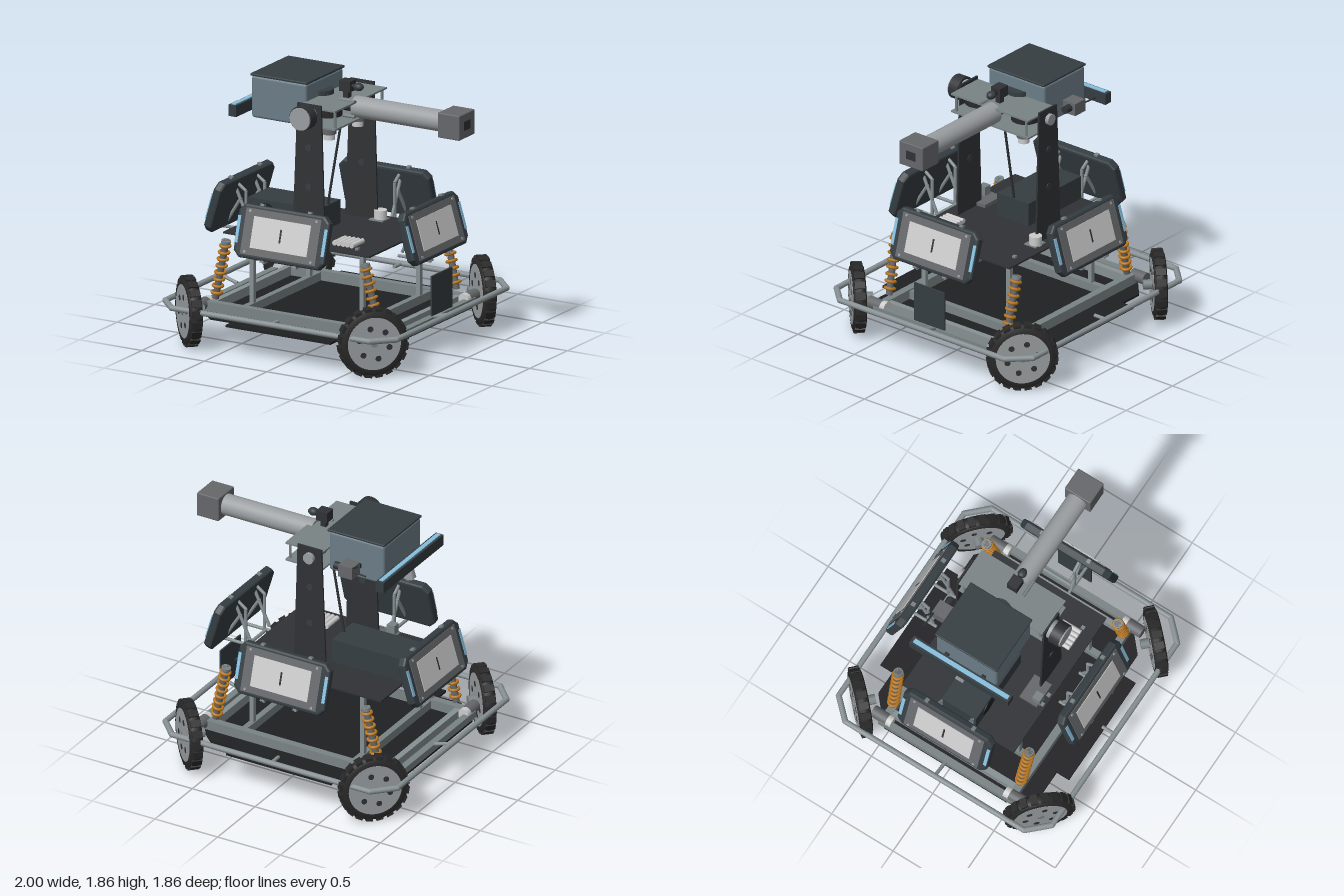
import * as THREE from 'three';
import { RoundedBoxGeometry } from 'three/addons/geometries/RoundedBoxGeometry.js';

const V = (x, y, z) => new THREE.Vector3(x, y, z);
const UP = V(0, 1, 0);
const mat = (color) => new THREE.MeshStandardMaterial({ color });
const M = {
  black: mat(0x1f2022), dark: mat(0x303235), slate: mat(0x353d42), steel: mat(0x7a8385), tube: mat(0x879093),
  mid: mat(0x65676a), light: mat(0x9a9ea0), pale: mat(0xc9cccb), hopper: mat(0x6b7d87), blue: mat(0x86bfde),
  orange: mat(0xb9771f), rubber: mat(0x292929),
};

function add(parent, name, geo, m, x = 0, y = 0, z = 0) {
  const mesh = new THREE.Mesh(geo, m);
  mesh.name = name;
  mesh.position.set(x, y, z);
  parent.add(mesh);
  return mesh;
}
// Box given by its minimum and maximum corners
const box = (p, name, m, a, b) => add(p, name, new THREE.BoxGeometry(b[0] - a[0], b[1] - a[1], b[2] - a[2]), m,
  (a[0] + b[0]) / 2, (a[1] + b[1]) / 2, (a[2] + b[2]) / 2);
// Cylinder between two points
function rod(p, name, m, a, b, r, seg = 12, r2 = r) {
  const d = b.clone().sub(a), mid = a.clone().add(b).multiplyScalar(0.5);
  const mesh = add(p, name, new THREE.CylinderGeometry(r2, r, d.length(), seg), m, mid.x, mid.y, mid.z);
  mesh.quaternion.setFromUnitVectors(UP, d.normalize());
  return mesh;
}
function polygon(points) {
  return new THREE.Shape(points.map(([x, y]) => new THREE.Vector2(x, y)));
}
function group(parent, name) {
  const g = new THREE.Group();
  g.name = name;
  parent.add(g);
  return g;
}

// Wheel with its axle along local y, outer face up
function makeWheel(parent) {
  const g = group(parent, 'wheel');
  const profile = [[0.18, -0.045], [0.215, -0.045], [0.237, -0.026], [0.242, 0], [0.237, 0.026], [0.215, 0.045], [0.18, 0.045]]
    .map(([x, y]) => new THREE.Vector2(x, y));
  add(g, 'tyre', new THREE.LatheGeometry(profile, 40), M.rubber);
  for (let i = 0; i < 20; i++) {
    const a = i / 20 * Math.PI * 2;
    const lug = add(g, 'treadLug', new THREE.BoxGeometry(0.03, 0.07, 0.05), M.rubber, 0.232 * Math.cos(a), 0, 0.232 * Math.sin(a));
    lug.rotation.y = -a;
  }
  add(g, 'hub', new THREE.CylinderGeometry(0.187, 0.187, 0.094, 40), M.light);
  for (const s of [-1, 1]) {
    add(g, 'hubCap', new THREE.CylinderGeometry(0.025, 0.025, 0.01, 16), M.steel, 0, s * 0.048, 0);
    for (let i = 0; i < 6; i++) {
      const a = (i + 0.5) * Math.PI / 3;
      add(g, 'hubHole', new THREE.CylinderGeometry(0.021, 0.021, 0.004, 12), M.dark, 0.11 * Math.cos(a), s * 0.047, 0.11 * Math.sin(a));
    }
  }
  return g;
}

// Tilted target panel facing local +z with its two tube brackets
function makePanel(parent, dist) {
  const g = group(parent, 'panelAssembly');
  const p = group(g, 'panel');
  p.position.set(0, 0.885, dist);
  p.rotation.x = -0.29;
  const w = 0.345, h = 0.17, c = 0.035;
  const outline = polygon([[-w + c, -h], [w - c, -h], [w, -h + c], [w, h - c], [w - c, h], [-w + c, h], [-w, h - c], [-w, -h + c]]);
  const body = new THREE.ExtrudeGeometry(outline, { depth: 0.035, bevelThickness: 0.015, bevelSize: 0.017, bevelSegments: 2 });
  add(p, 'panelBody', body, M.slate, 0, 0, -0.035);
  add(p, 'panelFrame', new THREE.BoxGeometry(0.6, 0.32, 0.012), M.mid, 0, 0, 0.014);
  add(p, 'panelPlate', new THREE.BoxGeometry(0.455, 0.22, 0.01), M.pale, 0, 0, 0.02);
  add(p, 'panelMark', new THREE.BoxGeometry(0.013, 0.095, 0.008), M.dark, 0, 0, 0.023);
  for (const s of [-1, 1]) {
    box(p, 'lightStrip', M.blue, [s * 0.345 - 0.012, -0.09, -0.03], [s * 0.345 + 0.012, 0.1, 0.018]);
    box(p, 'topStud', M.steel, [s * 0.19 - 0.014, 0.18, -0.025], [s * 0.19 + 0.014, 0.2, 0.005]);
    box(p, 'bottomStud', M.steel, [s * 0.13 - 0.016, -0.2, -0.025], [s * 0.13 + 0.016, -0.18, 0.005]);
    for (const t of [-1, 1]) {
      const screw = add(p, 'screw', new THREE.CylinderGeometry(0.01, 0.01, 0.01, 10), M.light, s * 0.265, t * 0.142, 0.02);
      screw.rotation.x = Math.PI / 2;
    }
    const o = dist - 0.715;
    const bars = [[0.76, 0.69, 0.5, 0.69], [0.57, 0.69, 0.57, 0.965], [0.57, 0.965, 0.66, 1.03], [0.66, 1.0, 0.53, 0.72], [0.74, 0.7, 0.61, 0.91]];
    for (const [z1, y1, z2, y2] of bars) rod(g, 'bracketBar', M.tube, V(s * 0.125, y1, z1 + o), V(s * 0.125, y2, z2 + o), 0.012, 8);
  }
  rod(g, 'bracketCrossBar', M.tube, V(-0.125, 0.69, dist - 0.16), V(0.125, 0.69, dist - 0.16), 0.012, 8);
  return g;
}

function makeChassis(root) {
  const g = group(root, 'chassis');
  g.position.x = -0.05;
  // Floor plate with wheel notches and side tabs
  const q = [[0.42, 0.77], [0.42, 0.67], [0.6, 0.67], [0.79, 0.5]];
  const flip = (pts, sx, sy) => pts.map(([x, y]) => [x * sx, y * sy]);
  const outline = polygon([...q, ...flip(q, 1, -1).reverse(), ...flip(q, -1, -1), ...flip(q, -1, 1).reverse()]);
  const floor = add(g, 'floorPlate', new THREE.ExtrudeGeometry(outline, { depth: 0.015, bevelEnabled: false }), M.black, 0, 0.205, 0);
  floor.rotation.x = Math.PI / 2;
  box(g, 'upperDeck', M.dark, [-0.63, 0.748, -0.455], [0.54, 0.76, 0.455]);
  box(g, 'sidePlate', M.slate, [0.838, 0.3, -0.135], [0.85, 0.585, 0.135]);

  for (const s of [-1, 1]) {
    box(g, 'longRail', M.steel, [-0.76, 0.205, s * 0.52 - 0.027], [0.76, 0.275, s * 0.52 + 0.027]);
    box(g, 'outerSideRail', M.steel, [s * 0.765 - 0.025, 0.205, -0.55], [s * 0.765 + 0.025, 0.255, 0.55]);
    box(g, 'innerSideRail', M.tube, [s * 0.68 - 0.022, 0.205, -0.52], [s * 0.68 + 0.022, 0.27, 0.52]);
    box(g, 'crossRail', M.steel, [s * 0.44 - 0.022, 0.205, -0.52], [s * 0.44 + 0.022, 0.265, 0.52]);
    // Bumper sides
    rod(g, 'bumperLongTube', M.tube, V(-0.79, 0.295, s * 0.87), V(0.79, 0.295, s * 0.87), 0.02);
    rod(g, 'bumperSideTube', M.tube, V(s * 0.925, 0.295, -0.73), V(s * 0.925, 0.295, 0.73), 0.02);
    rod(g, 'bumperStay', M.tube, V(0, 0.295, s * 0.77), V(0, 0.295, s * 0.87), 0.013);
    rod(g, 'bumperStay', M.tube, V(s * 0.79, 0.255, 0), V(s * 0.925, 0.295, 0), 0.013);
    for (const t of [-1, 1]) {
      rod(g, 'bumperCornerTube', M.tube, V(s * 0.79, 0.295, t * 0.87), V(s * 0.925, 0.295, t * 0.73), 0.021);
      for (const [x, z] of [[0.79, 0.87], [0.925, 0.73]]) add(g, 'bumperJoint', new THREE.SphereGeometry(0.021, 12, 8), M.tube, s * x, 0.295, t * z);
      box(g, 'deckPost', M.tube, [s * 0.44 - 0.016, 0.2, t * 0.375 - 0.016], [s * 0.44 + 0.016, 0.75, t * 0.375 + 0.016]);
      // Wheels on the diagonals and their motors
      const wheel = makeWheel(g);
      wheel.position.set(s * 0.735, 0.248, t * 0.73);
      wheel.quaternion.setFromUnitVectors(UP, V(s, 0, t).normalize());
      rod(g, 'axle', M.steel, V(s * 0.66, 0.248, t * 0.655), V(s * 0.735, 0.248, t * 0.73), 0.035);
      rod(g, 'wheelMotor', M.mid, V(s * 0.74, 0.25, t * 0.5), V(s * 0.74, 0.25, t * 0.62), 0.043, 20);
      rod(g, 'motorCap', M.pale, V(s * 0.74, 0.25, t * 0.46), V(s * 0.74, 0.25, t * 0.5), 0.043, 20);
      // Coil-over shock
      const a = V(s * 0.555, 0.73, t * 0.535), b = V(s * 0.65, 0.3, t * 0.52);
      rod(g, 'shockBody', M.mid, b, a, 0.024, 14);
      rod(g, 'shockTop', M.steel, a.clone().lerp(b, 0.05), a, 0.034, 14);
      const dir = b.clone().sub(a).normalize();
      for (let i = 0; i < 8; i++) {
        const pos = a.clone().lerp(b, 0.09 + i * 0.115);
        const coil = add(g, 'springCoil', new THREE.TorusGeometry(0.033, 0.011, 8, 20), M.orange, pos.x, pos.y, pos.z);
        coil.quaternion.setFromUnitVectors(V(0, 0, 1), dir.clone().add(V(0.12, 0, 0)).normalize());
      }
    }
  }
  for (let i = 0; i < 4; i++) makePanel(g, i % 2 ? 0.79 : 0.715).rotation.y = i * Math.PI / 2;
}

function makeDeckParts(root) {
  const g = group(root, 'deckParts');
  box(g, 'controlBox', M.slate, [-0.67, 0.76, -0.14], [-0.1, 0.93, 0.14]);
  box(g, 'flatModule', M.mid, [-0.32, 0.76, 0.27], [-0.13, 0.785, 0.41]);
  rod(g, 'boxDisc', M.black, V(-0.52, 0.845, 0.138), V(-0.52, 0.845, 0.146), 0.065, 24);
  for (let i = 0; i < 5; i++) rod(g, 'batteryCell', M.pale, V(0.16 + i * 0.034, 0.785, 0.22), V(0.16 + i * 0.034, 0.785, 0.37), 0.018, 12);
  rod(g, 'sensorPuck', M.pale, V(0.09, 0.76, -0.36), V(0.09, 0.83, -0.36), 0.045, 24);
  box(g, 'sensorBase', M.steel, [0.03, 0.76, -0.4], [0.14, 0.768, -0.3]);
  for (const [x, z] of [[0.34, -0.38], [0.34, 0.36], [-0.28, 0.43], [-0.2, 0.43]]) box(g, 'deckStud', M.steel, [x - 0.013, 0.76, z - 0.013], [x + 0.013, 0.775, z + 0.013]);
  box(g, 'sideConnector', M.steel, [-0.3, 0.76, 0.36], [-0.24, 0.85, 0.42]);
}

function makeTurret(root) {
  const g = group(root, 'turret');
  // Tapered side towers
  const tower = polygon([[-0.185, 0.75], [0.075, 0.75], [0.045, 1.74], [-0.145, 1.74]]);
  for (const s of [-1, 1]) {
    add(g, 'tower', new THREE.ExtrudeGeometry(tower, { depth: 0.014, bevelEnabled: false }), M.dark, 0, 0, s * 0.35 - 0.007);
    for (const y of [1.15, 1.43]) rod(g, 'towerBolt', M.slate, V(-0.055, y, s * 0.34), V(-0.055, y, s * 0.362), 0.024, 16);
    // Feeder wheels and their motors
    rod(g, 'feedWheel', M.rubber, V(0.01, 1.64, s * 0.205), V(0.01, 1.695, s * 0.205), 0.1, 32);
    rod(g, 'feedMotor', M.mid, V(0.01, 1.5, s * 0.19), V(0.01, 1.58, s * 0.19), 0.05, 20);
    rod(g, 'feedMotorCap', M.pale, V(0.01, 1.46, s * 0.19), V(0.01, 1.5, s * 0.19), 0.04, 20);
    for (const x of [-0.12, 0.13]) rod(g, 'plateSpacer', M.steel, V(x, 1.58, s * 0.31), V(x, 1.71, s * 0.31), 0.01, 8);
    rod(g, 'barrelRail', M.steel, V(0.02, 1.665 + s * 0.055, 0.08), V(0.15, 1.665 + s * 0.055, 0.08), 0.012, 8);
  }
  rod(g, 'pitchMotor', M.light, V(-0.055, 1.662, 0.357), V(-0.055, 1.662, 0.385), 0.07, 28);
  rod(g, 'pitchMotorBody', M.dark, V(-0.055, 1.662, 0.385), V(-0.055, 1.662, 0.465), 0.087, 28);
  rod(g, 'pitchMotorFace', M.light, V(-0.055, 1.662, 0.465), V(-0.055, 1.662, 0.475), 0.08, 28);
  rod(g, 'pitchBearing', M.light, V(-0.055, 1.662, -0.385), V(-0.055, 1.662, -0.35), 0.04, 20);
  box(g, 'upperPlate', M.steel, [-0.145, 1.705, -0.343], [0.15, 1.717, 0.343]);
  box(g, 'lowerPlate', M.steel, [-0.145, 1.575, -0.343], [0.15, 1.587, 0.343]);
  rod(g, 'supportRod', M.dark, V(0, 1.58, 0), V(-0.12, 0.9, 0), 0.009, 8);
  // Barrel and muzzle
  rod(g, 'barrelNeck', M.dark, V(0.02, 1.662, 0), V(0.12, 1.662, 0), 0.04, 20);
  rod(g, 'barrel', M.light, V(0.11, 1.662, 0), V(0.83, 1.662, 0), 0.075, 36);
  add(g, 'muzzle', new RoundedBoxGeometry(0.175, 0.178, 0.21, 2, 0.008), M.mid, 0.912, 1.662, 0);
  box(g, 'muzzleOpening', M.dark, [0.99, 1.63, -0.042], [1.0, 1.694, 0.042]);
  // Aiming camera
  box(g, 'cameraStand', M.dark, [0.02, 1.715, -0.02], [0.06, 1.77, 0.02]);
  box(g, 'camera', M.dark, [-0.003, 1.765, -0.04], [0.085, 1.84, 0.04]);
  rod(g, 'cameraNeck', M.black, V(0.085, 1.802, 0), V(0.12, 1.802, 0), 0.018);
  add(g, 'cameraLens', new THREE.SphereGeometry(0.032, 20, 14), M.slate, 0.13, 1.802, 0).scale.set(1.2, 0.9, 1);
  // Hopper with lid
  add(g, 'hopper', new RoundedBoxGeometry(0.44, 0.3, 0.495, 3, 0.02), M.hopper, -0.36, 1.69, 0);
  add(g, 'hopperLid', new RoundedBoxGeometry(0.456, 0.018, 0.506, 2, 0.007), M.slate, -0.358, 1.847, 0);
  rod(g, 'feedDisc', M.slate, V(-0.17, 1.717, 0), V(-0.17, 1.75, 0), 0.09, 28);
  // Light bar behind the hopper
  box(g, 'lightBar', M.slate, [-0.67, 1.575, -0.405], [-0.608, 1.655, 0.4]);
  box(g, 'lightBarStrip', M.blue, [-0.655, 1.65, -0.385], [-0.623, 1.662, 0.385]);
  for (const s of [-1, 1]) box(g, 'lightBarArm', M.dark, [-0.61, 1.6, s * 0.15 - 0.015], [-0.575, 1.63, s * 0.15 + 0.015]);
  rod(g, 'lightBarFoot', M.light, V(-0.64, 1.5, 0), V(-0.64, 1.58, 0), 0.045, 4, 0.025).rotation.y = Math.PI / 4;
  // Side sensor with whiskers
  box(g, 'sideSensor', M.mid, [-0.41, 1.6, -0.39], [-0.3, 1.69, -0.28]);
  box(g, 'sensorMount', M.dark, [-0.4, 1.63, -0.29], [-0.33, 1.66, -0.24]);
  rod(g, 'sensorLens', M.dark, V(-0.3, 1.65, -0.34), V(-0.245, 1.65, -0.34), 0.027, 16);
  rod(g, 'whisker', M.dark, V(-0.4, 1.68, -0.37), V(-0.47, 1.73, -0.41), 0.006, 6);
  rod(g, 'whisker', M.dark, V(-0.4, 1.66, -0.38), V(-0.52, 1.66, -0.39), 0.006, 6);
}

export function createModel() {
  const root = new THREE.Group();
  root.name = 'wheeledTurretRobot';
  makeChassis(root);
  makeDeckParts(root);
  makeTurret(root);
  return root;
}
